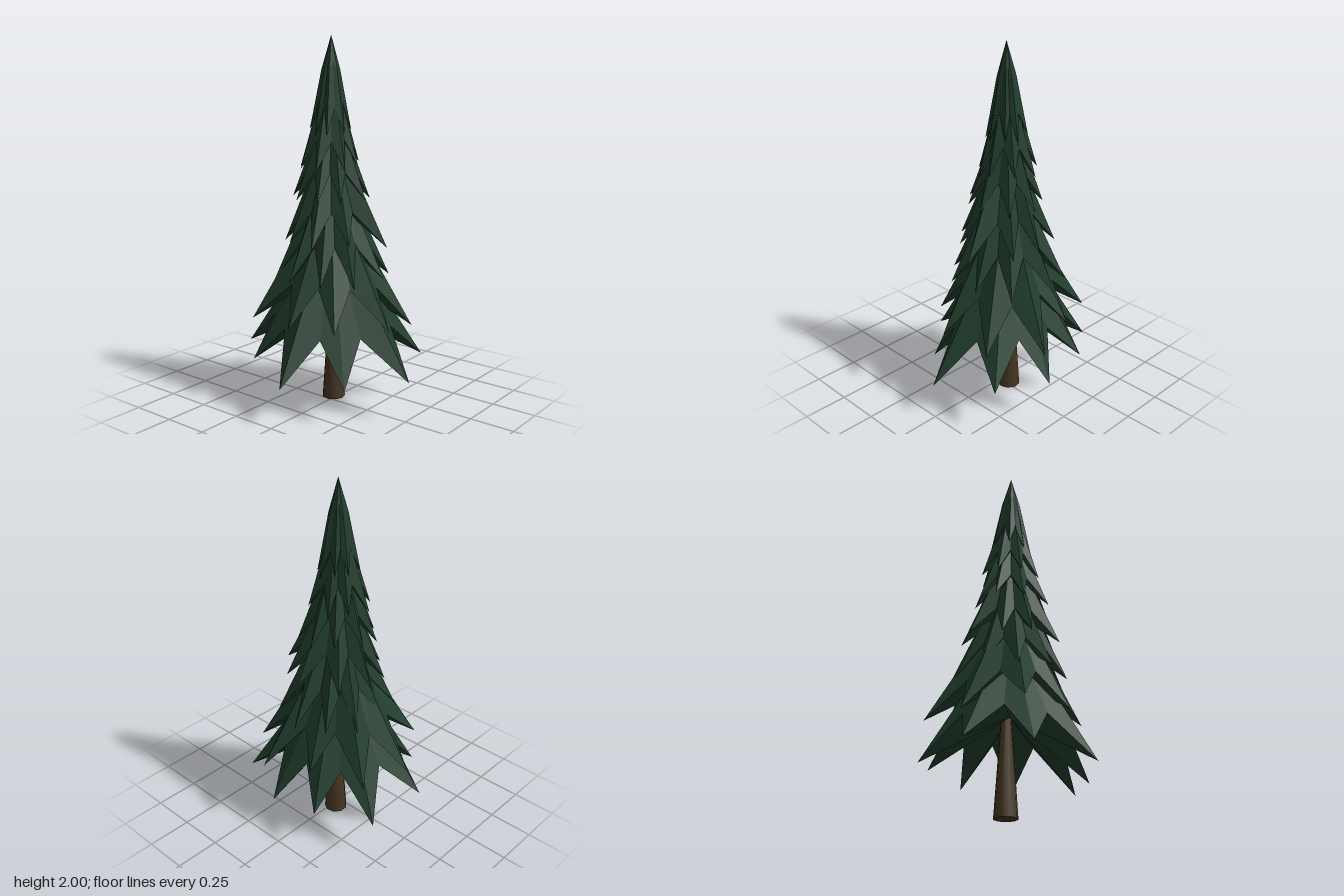
import * as THREE from 'three';

// Vertical axis of the foliage
const CX = 0.028, CZ = -0.02;

function seeded(seed) {
  return () => {
    seed = (seed * 16807) % 2147483647;
    return seed / 2147483647;
  };
}

// One star-shaped skirt of drooping branches: sharp ridges run from the apex to
// each tip, with valleys between them and a hollow underside.
function skirtGeometry(tips, apexY, bulge, valley) {
  const sorted = tips
    .map(([x, y, z]) => ({ a: Math.atan2(z - CZ, x - CX), r: Math.hypot(x - CX, z - CZ), y }))
    .sort((p, q) => p.a - q.a);
  const at = (a, r, y) => new THREE.Vector3(CX + Math.cos(a) * r, y, CZ + Math.sin(a) * r);
  const rim = [], shoulder = [];
  const add = (a, r, y) => {
    rim.push(at(a, r, y));
    shoulder.push(at(a, r * 0.36 * bulge, apexY + (y - apexY) * 0.36));
  };
  let meanTip = 0;
  sorted.forEach((p, i) => {
    const q = sorted[(i + 1) % sorted.length];
    const gap = (q.a - p.a + Math.PI * 2) % (Math.PI * 2);
    const y = (p.y + q.y) / 2;
    add(p.a, p.r, p.y);
    add(p.a + gap / 2, ((p.r + q.r) / 2) * valley, y + (apexY - y) * 0.27);
    meanTip += p.y / sorted.length;
  });
  const apex = new THREE.Vector3(CX, apexY, CZ);
  const hollow = new THREE.Vector3(CX, meanTip + (apexY - meanTip) * 0.35, CZ);
  const pos = [];
  const tri = (...v) => v.forEach((p) => pos.push(p.x, p.y, p.z));
  rim.forEach((p, i) => {
    const j = (i + 1) % rim.length;
    tri(apex, shoulder[j], shoulder[i]);
    tri(shoulder[i], shoulder[j], rim[j]);
    tri(shoulder[i], rim[j], p);
    tri(hollow, p, rim[j]);
  });
  const g = new THREE.BufferGeometry();
  g.setAttribute('position', new THREE.Float32BufferAttribute(pos, 3));
  g.computeVertexNormals();
  return g;
}

// Evenly spread tips with a little irregularity
function ringOfTips(count, radius, y, turn, rand) {
  return Array.from({ length: count }, (_, i) => {
    const a = turn + ((i + (rand() - 0.5) * 0.35) / count) * Math.PI * 2;
    const r = radius * (0.9 + rand() * 0.14);
    return [CX + Math.cos(a) * r, y + (rand() - 0.5) * 0.05, CZ + Math.sin(a) * r];
  });
}

export function createModel() {
  const tree = new THREE.Group();
  tree.name = 'firTree';
  const needles = new THREE.MeshStandardMaterial({ color: 0x213d2d });
  needles.name = 'needleGreen';
  const bark = new THREE.MeshStandardMaterial({ color: 0x463622 });
  bark.name = 'barkBrown';

  // Tapered trunk
  const trunk = new THREE.Mesh(new THREE.CylinderGeometry(0.022, 0.064, 0.62, 9), bark);
  trunk.name = 'trunk';
  trunk.position.set(0.053, 0.31, -0.022);
  tree.add(trunk);

  // Branch tips of the four widest skirts, bottom to top
  const first = [
    [-0.47, 0.21, 0.035], [0.01, 0.215, 0.515], [0.34, 0.26, 0.375], [0.455, 0.23, 0.075],
    [0.425, 0.27, -0.21], [0.235, 0.22, -0.465], [-0.1, 0.27, -0.515], [-0.33, 0.27, -0.275],
    [-0.245, 0.19, 0.283],
  ];
  const second = [
    [0.465, 0.44, 0.13], [0.26, 0.45, -0.415], [-0.04, 0.43, -0.47], [-0.3, 0.49, -0.305],
    [-0.345, 0.49, -0.01], [-0.25, 0.48, 0.22], [-0.02, 0.48, 0.405], [0.26, 0.44, 0.36],
    [0.38, 0.49, -0.14],
  ];
  const third = [
    [0.38, 0.71, -0.03], [0.28, 0.7, 0.19], [0.1, 0.72, 0.28], [-0.12, 0.7, 0.25],
    [-0.24, 0.71, 0.12], [-0.28, 0.72, -0.06], [-0.2, 0.7, -0.23], [-0.01, 0.71, -0.3],
    [0.17, 0.7, -0.29], [0.31, 0.72, -0.19],
  ];
  const fourth = [
    [0.31, 0.93, 0.01], [0.25, 0.92, 0.15], [0.08, 0.9, 0.315], [-0.1, 0.92, 0.2],
    [-0.24, 0.9, 0.06], [-0.2, 0.92, -0.12], [-0.1, 0.9, -0.24], [0.07, 0.93, -0.295],
    [0.22, 0.92, -0.2],
  ];

  // Each skirt: tips, apex height, shoulder bulge, valley depth
  const rand = seeded(4217);
  const skirts = [
    [first, 1.05, 1, 0.66],
    [second, 1.24, 1, 0.62],
    [third, 1.42, 1, 0.6],
    [fourth, 1.55, 1.02, 0.58],
    [ringOfTips(9, 0.215, 1.14, 0.1, rand), 1.7, 1.05, 0.6],
    [ringOfTips(8, 0.172, 1.31, 0.5, rand), 1.86, 1.1, 0.62],
    [ringOfTips(8, 0.115, 1.5, 0.2, rand), 2.0, 1.25, 0.65],
  ];
  skirts.forEach(([tips, apexY, bulge, valley], i) => {
    const mesh = new THREE.Mesh(skirtGeometry(tips, apexY, bulge, valley), needles);
    mesh.name = `branchSkirt${i + 1}`;
    tree.add(mesh);
  });
  return tree;
}
